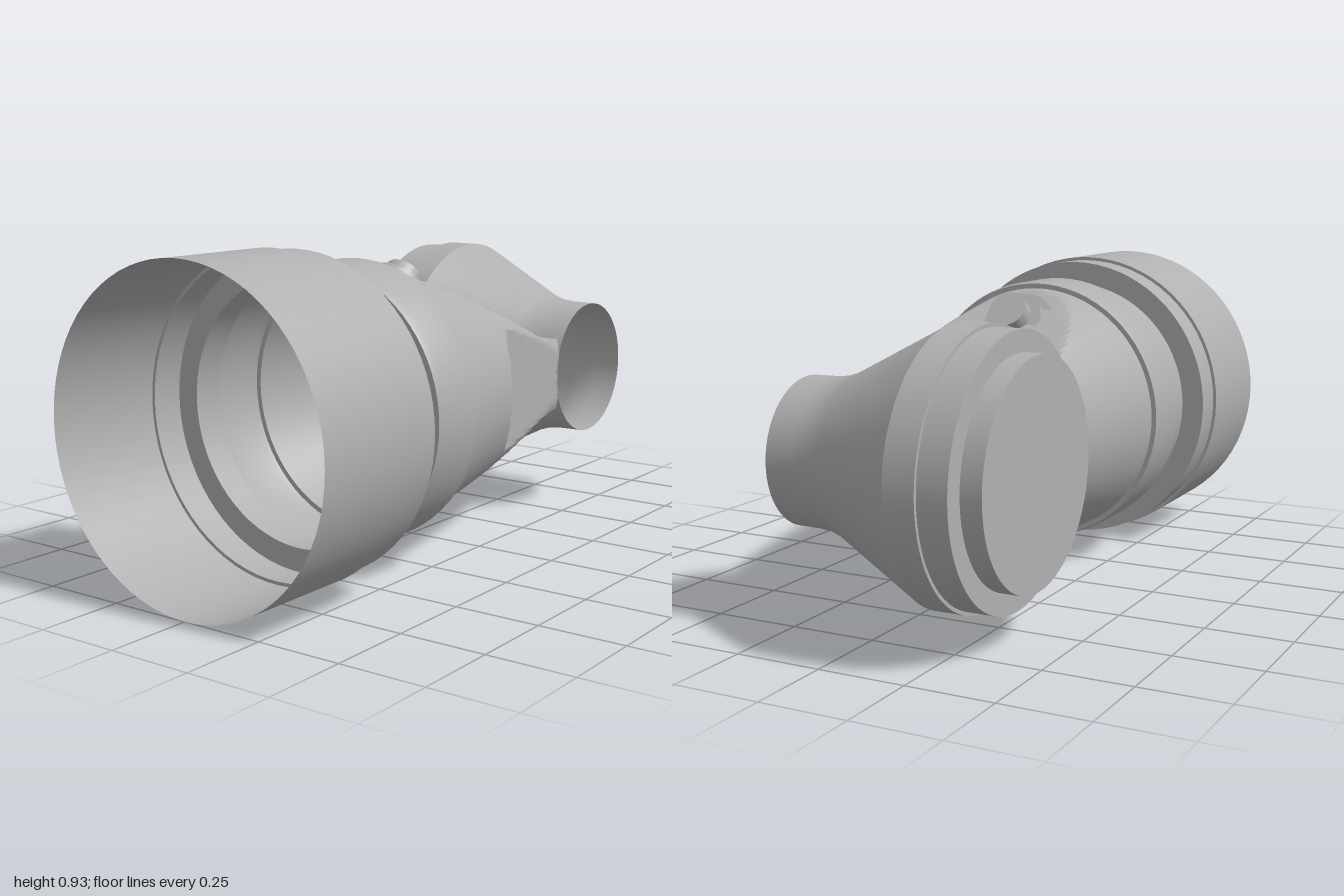
import * as THREE from 'three';
import { toCreasedNormals } from 'three/addons/utils/BufferGeometryUtils.js';

const AXIS_Y = 0.465;
const HEAD_X = 0.615;

const metal = new THREE.MeshStandardMaterial({ color: 0xb0b0b0, side: THREE.DoubleSide });
metal.name = 'grey metal';

// Piecewise linear lookup through [position, value] pairs
function lookup(table, t) {
  if (t <= table[0][0]) return table[0][1];
  for (let i = 1; i < table.length; i++) {
    const [a, va] = table[i - 1], [b, vb] = table[i];
    if (t <= b) return va + (vb - va) * (t - a) / (b - a);
  }
  return table[table.length - 1][1];
}

function part(name, geometry) {
  const mesh = new THREE.Mesh(toCreasedNormals(geometry, 0.35), metal);
  mesh.name = name;
  return mesh;
}

// Profile pairs are [radius, distance along the axis]
function lathe(profile) {
  return new THREE.LatheGeometry(profile.map(([r, d]) => new THREE.Vector2(r, d)), 72);
}

// Side wall of the head as [z, radius]
const headWall = [[-0.19, 0.38], [0.1, 0.231], [0.15, 0.215], [0.2, 0.21], [0.275, 0.209]];

// Tapering arm: a cone trimmed by sloping planes above and below and by a front facet
function armGeometry() {
  const rows = 46, cols = 120;
  const halfHeight = [[-0.25, 0.405], [-0.17, 0.352], [0, 0.272], [0.12, 0.222], [0.3, 0.138], [0.38, 0.115], [0.46, 0.112]];
  const front = [[-0.25, 0.41], [0.025, 0.348], [0.06, 0.305], [0.1, 0.276], [0.46, 0.274]];
  const positions = [], index = [];
  for (let i = 0; i <= rows; i++) {
    const x = -0.25 + 0.7 * i / rows;
    const radius = 0.39 - 0.16 * (x + 0.25);
    const h = lookup(halfHeight, x), f = lookup(front, x);
    for (let j = 0; j <= cols; j++) {
      const a = 2 * Math.PI * j / cols;
      const y = THREE.MathUtils.clamp(radius * Math.sin(a), -h, h);
      const z = Math.min(radius * Math.cos(a), f);
      // Stop the arm just inside the wall of the head
      const r = lookup(headWall, z);
      const limit = HEAD_X - Math.sqrt(Math.max(r * r - y * y, 0)) + 0.005;
      positions.push(Math.min(x, limit), y + AXIS_Y, z);
    }
  }
  const n = cols + 1;
  for (let i = 0; i < rows; i++) {
    for (let j = 0; j < cols; j++) {
      const p = i * n + j;
      index.push(p, p + n, p + 1, p + 1, p + n, p + n + 1);
    }
  }
  const geometry = new THREE.BufferGeometry();
  geometry.setAttribute('position', new THREE.Float32BufferAttribute(positions, 3));
  geometry.setIndex(index);
  return geometry;
}

// Stepped bolt along +y, its outer face at y = 0
function makeBolt(name, side) {
  const bolt = new THREE.Group();
  bolt.name = name;
  bolt.add(part('boltStack', lathe([
    [0.115, -0.16], [0.115, -0.085], [0.09, -0.085], [0.09, -0.045],
    [0.06, -0.045], [0.06, 0], [0, 0],
  ])));
  bolt.position.set(-0.035, AXIS_Y + side * 0.345, 0);
  bolt.quaternion.setFromUnitVectors(
    new THREE.Vector3(0, 1, 0),
    new THREE.Vector3(0.77, side * 0.64, 0).normalize(),
  );
  return bolt;
}

export function createModel() {
  const model = new THREE.Group();
  model.name = 'pipeElbow';

  // Hollow stepped sleeve, open at its right end
  const sleeve = part('sleeve', lathe([
    [0.465, -1], [0.465, -0.635], [0.455, -0.635], [0.455, -0.535],
    [0.385, -0.535], [0.385, -0.44], [0.403, -0.44], [0.41, -0.42],
    [0.41, -0.27], [0.405, -0.25], [0.39, -0.25],
  ]).rotateZ(-Math.PI / 2));
  sleeve.position.y = AXIS_Y;
  model.add(sleeve);

  model.add(part('arm', armGeometry()));

  // Conical head, capped at the back and open at the front
  const head = part('head', lathe([
    [0, -0.425], [0.31, -0.425], [0.31, -0.365], [0.37, -0.365],
    [0.37, -0.28], [0.38, -0.28], ...headWall.map(([z, r]) => [r, z]),
  ]).rotateX(Math.PI / 2));
  head.position.set(HEAD_X, AXIS_Y, 0);
  model.add(head);

  // Matching bolts above and below the arm
  model.add(makeBolt('upperBolt', 1), makeBolt('lowerBolt', -1));

  return model;
}
